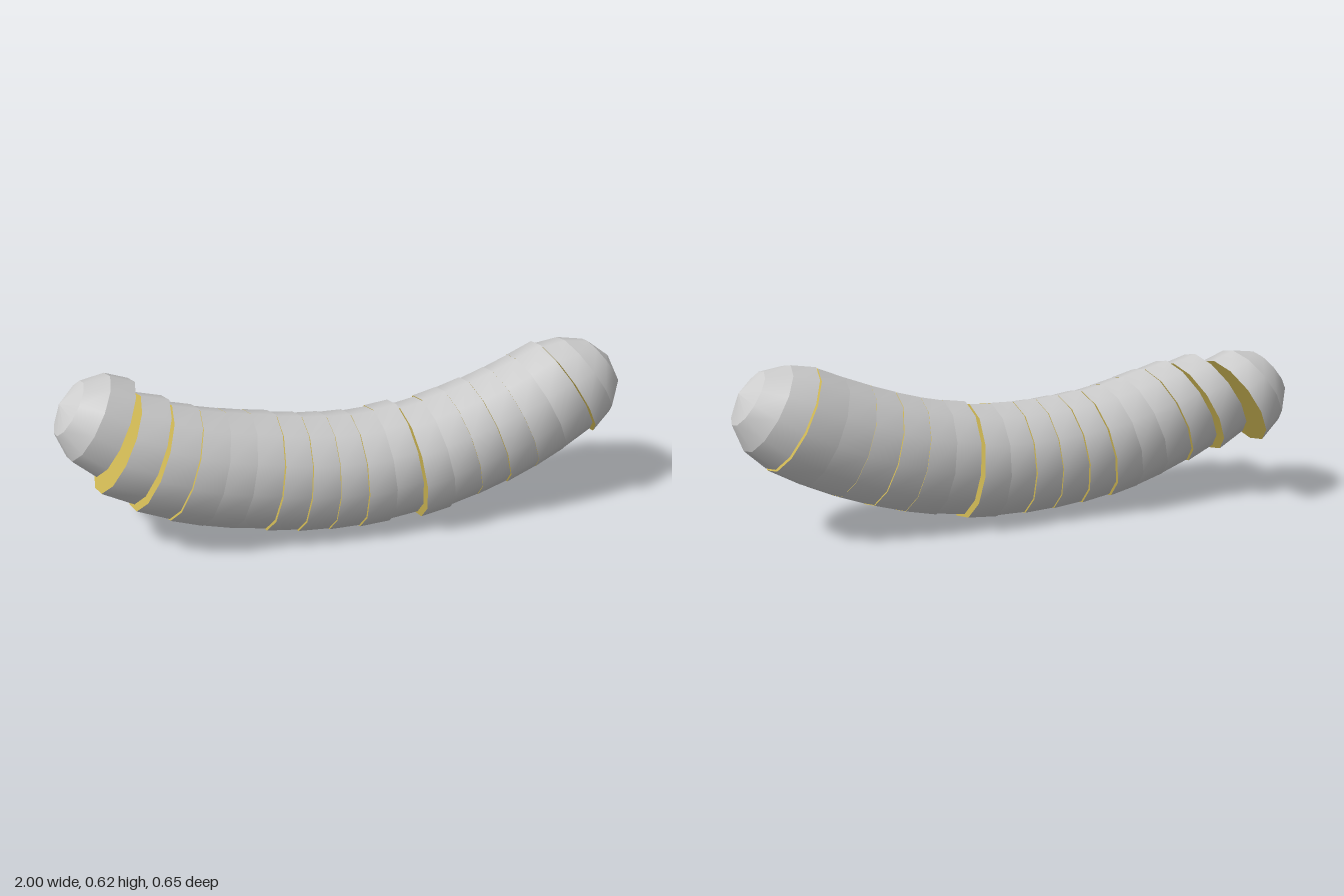
import * as THREE from 'three';

const SIDES = 12;
const skin = new THREE.MeshStandardMaterial({ color: 0xcccccc });
const flesh = new THREE.MeshStandardMaterial({ color: 0xccb553 });

// Sideways offset of every slice, from the right end (-x) to the left end (+x)
const OFFSETS = [-0.145, -0.02, 0.03, 0.043, 0.04, 0.037, 0.052, 0.063, 0.07,
  0.08, 0.07, 0.108, 0.097, 0.1, 0.108, 0.11, 0.108, 0.13];

// A ring lies across the bent body: centre x, y, radius r and tilt
function cut(x) {
  const right = x < 0;
  return {
    x,
    y: 0.21 + (right ? 0.285 : 0.355) * x * x,
    r: 0.21 - (right ? 0.027 : 0.017) * (x / 0.8) ** 4,
    tilt: 0.65 * x,
  };
}

// Skin a row of rings running towards +x
function loft(rings) {
  const pos = [], index = [];
  rings.forEach(({ x, y, r, tilt }, i) => {
    for (let j = 0; j < SIDES; j++) {
      const a = (j / SIDES) * Math.PI * 2, n = r * Math.cos(a);
      pos.push(x - n * Math.sin(tilt), y + n * Math.cos(tilt), r * Math.sin(a));
      if (i + 1 < rings.length) {
        const p = i * SIDES + j, q = i * SIDES + (j + 1) % SIDES;
        index.push(p, q, p + SIDES, q, q + SIDES, p + SIDES);
      }
    }
  });
  const geo = new THREE.BufferGeometry();
  geo.setAttribute('position', new THREE.Float32BufferAttribute(pos, 3));
  geo.setIndex(index);
  geo.computeVertexNormals();
  return geo;
}

function addMesh(group, name, rings, material) {
  const mesh = new THREE.Mesh(loft(rings), material);
  mesh.name = name;
  group.add(mesh);
}

const point = (ring) => ({ ...ring, r: 0 });

export function createModel() {
  const model = new THREE.Group();
  model.name = 'slicedCurvedFruit';

  const cuts = [];
  for (let i = 0; i <= 16; i++) cuts.push(cut(-0.8 + i * 0.1));

  // Rounded ends, each a row of rings
  const rightEnd = [
    { x: -0.97, y: 0.505, r: 0, tilt: -0.6 },
    { x: -0.94, y: 0.485, r: 0.104, tilt: -0.6 },
    { x: -0.878, y: 0.443, r: 0.165, tilt: -0.56 },
    cuts[0],
  ];
  const leftEnd = [
    cuts[16],
    { x: 0.878, y: 0.48, r: 0.165, tilt: 0.56 },
    { x: 0.94, y: 0.521, r: 0.104, tilt: 0.6 },
    { x: 0.97, y: 0.541, r: 0, tilt: 0.6 },
  ];

  OFFSETS.forEach((z, i) => {
    const slice = new THREE.Group();
    slice.position.z = z;
    const isRight = i === 0, isLeft = i === OFFSETS.length - 1;
    slice.name = isRight ? 'rightEnd' : isLeft ? 'leftEnd' : 'slice' + i;
    const rings = isRight ? rightEnd : isLeft ? leftEnd : [cuts[i - 1], cuts[i]];

    // Skin bands, crisp between rings and smooth around
    for (let k = 0; k + 1 < rings.length; k++) addMesh(slice, 'skin', [rings[k], rings[k + 1]], skin);

    // Cut faces
    if (!isRight) addMesh(slice, 'rightCutFace', [point(rings[0]), rings[0]], flesh);
    const last = rings[rings.length - 1];
    if (!isLeft) addMesh(slice, 'leftCutFace', [last, point(last)], flesh);
    model.add(slice);
  });
  return model;
}
